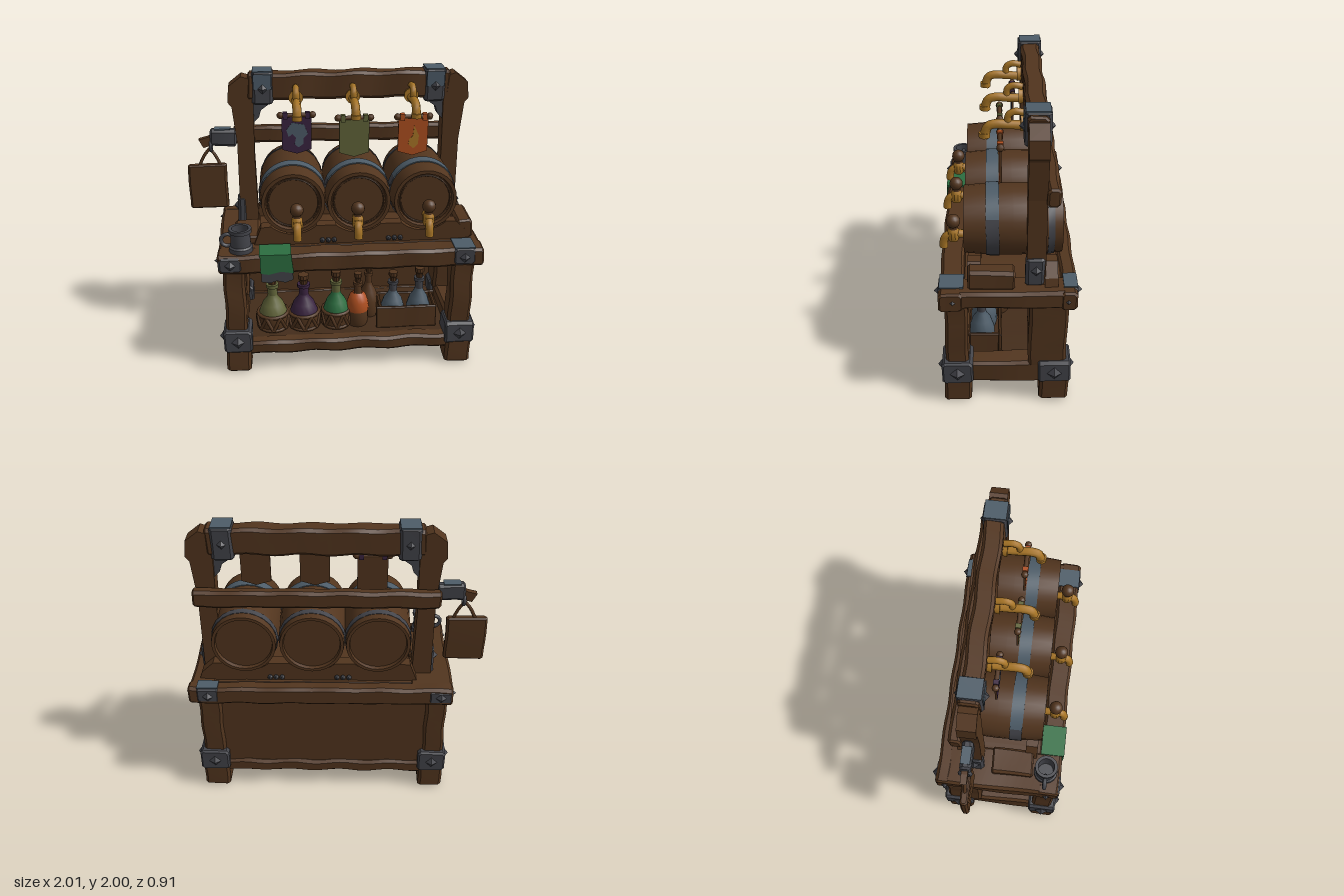
import * as THREE from 'three';
import { toCreasedNormals } from 'three/addons/utils/BufferGeometryUtils.js';

const mat = (name, color, double) => {
  const m = new THREE.MeshStandardMaterial({ color });
  m.name = name;
  if (double) m.side = THREE.DoubleSide;
  return m;
};

export function createModel() {
  const root = new THREE.Group();
  root.name = 'tavernBar';
  const wood = mat('wood', 0x52351e, true), darkWood = mat('darkWood', 0x432c1a);
  const steel = mat('blueSteel', 0x4d5c68, true), iron = mat('darkIron', 0x424349, true);
  const gold = mat('brass', 0xa97626), purple = mat('purple', 0x3a2440, true);
  const olive = mat('olive', 0x62653a, true), green = mat('green', 0x2c6e40, true);
  const orange = mat('orange', 0xae4f20, true);

  const add = (name, geo, m, x = 0, y = 0, z = 0, parent = root) => {
    const mesh = new THREE.Mesh(geo, m);
    mesh.name = name;
    mesh.position.set(x, y, z);
    parent.add(mesh);
    return mesh;
  };
  const v = (x, y, z) => new THREE.Vector3(x, y, z);
  const shapeOf = pts => new THREE.Shape(pts.map(p => new THREE.Vector2(...p)));

  // Hand-hewn beam between two corners: chamfered section, gently uneven faces
  function beam(name, m, x0, x1, y0, y1, z0, z1, wob = 0.0035) {
    const w = x1 - x0, h = y1 - y0, d = z1 - z0, len = Math.max(w, h, d);
    const [a, b] = len === w ? [d, h] : len === h ? [w, d] : [w, h];
    const c = Math.min(0.012, Math.min(a, b) * 0.18), p = a / 2 - c, q = b / 2 - c;
    const s = shapeOf([[-p + c, -q], [p - c, -q], [p, -q + c], [p, q - c],
      [p - c, q], [-p + c, q], [-p, q - c], [-p, -q + c]]);
    const g = new THREE.ExtrudeGeometry(s, { depth: len - 2 * c, steps: Math.max(1, Math.round(len / 0.06)),
      bevelEnabled: true, bevelSize: c, bevelThickness: c, bevelSegments: 1 });
    g.translate(0, 0, c - len / 2);
    if (len === w) g.rotateY(Math.PI / 2);
    else if (len === h) g.rotateX(-Math.PI / 2);
    g.translate((x0 + x1) / 2, (y0 + y1) / 2, (z0 + z1) / 2);
    const P = g.attributes.position;
    for (let i = 0; i < P.count; i++) {
      const x = P.getX(i), y = P.getY(i), z = P.getZ(i);
      P.setXYZ(i, x + wob * Math.sin(y * 21 + z * 9), y + wob * Math.sin(x * 19 + z * 11),
        z + wob * Math.sin(x * 16 + y * 13));
    }
    return add(name, toCreasedNormals(g, 0.4), m);
  }
  const slab = (name, pts, depth, m, x, y, z) =>
    add(name, new THREE.ExtrudeGeometry(shapeOf(pts), { depth, bevelEnabled: false }), m, x, y, z);
  const lathe = (pts, seg = 20, start = 0, length = Math.PI * 2) =>
    toCreasedNormals(new THREE.LatheGeometry(pts.map(p => new THREE.Vector2(...p)), seg, start, length), 0.6);
  const tube = (name, pts, r, m, parent = root, seg = 14) =>
    add(name, new THREE.TubeGeometry(new THREE.CatmullRomCurve3(pts), seg, r, 8), m, 0, 0, 0, parent);

  // Four-sided stud pointing along a direction
  const stud = (x, y, z, dx, dz, r = 0.042) => {
    const s = add('stud', toCreasedNormals(new THREE.ConeGeometry(r, 0.035, 4), 0.1), iron, x + dx * 0.012, y, z + dz * 0.012);
    s.quaternion.setFromUnitVectors(v(0, 1, 0), v(dx, 0, dz));
  };

  // Legs, feet and iron corners
  for (const [x0, x1, side] of [[-0.77, -0.6, -1], [0.77, 0.95, 1]]) {
    for (const [z0, z1, f] of [[0.23, 0.41, 1], [-0.4, -0.21, -1]]) {
      beam('foot', wood, x0, x1, 0, 0.2, z0, z1);
      beam('leg', wood, x0 + 0.01, x1 - 0.015, 0.28, 0.8, f > 0 ? 0.245 : -0.38, f > 0 ? 0.39 : -0.135);
      beam('cornerBracket', iron, x0 - 0.012, x1 + 0.012, 0.16, 0.33, z0 - 0.01, z1 + 0.01, 0.002);
      const xm = (x0 + x1) / 2, zm = (z0 + z1) / 2, xo = side < 0 ? x0 - 0.015 : x1 + 0.015;
      stud(xm, 0.245, f > 0 ? z1 + 0.01 : z0 - 0.01, 0, f, 0.052);
      stud(xo, 0.245, zm, side, 0, 0.052);
      // Table corners: the right ones wrap over the top, the left ones sit under the plank
      const cx0 = side < 0 ? -0.785 : 0.78, cx1 = side < 0 ? -0.63 : 0.93;
      const cz0 = f > 0 ? 0.26 : -0.435, cz1 = f > 0 ? 0.42 : -0.34;
      beam('tableCorner', iron, cx0, cx1, 0.79, side < 0 ? 0.897 : 0.912, cz0, cz1, 0.001);
      if (side > 0) add('cornerCap', new THREE.BoxGeometry(cx1 - cx0 - 0.01, 0.008, cz1 - cz0 - 0.01), steel,
        (cx0 + cx1) / 2, 0.914, (cz0 + cz1) / 2);
      stud((cx0 + cx1) / 2, 0.845, f > 0 ? cz1 : cz0, 0, f);
      stud(side < 0 ? -0.785 : 0.975, 0.845, f > 0 ? 0.33 : -0.37, side, 0, 0.03);
    }
    beam('sideRail', wood, x0 + 0.02, x1 - 0.02, 0.14, 0.31, -0.24, 0.26);
    beam('tableSide', wood, side < 0 ? -0.79 : 0.8, side < 0 ? -0.5 : 0.98, 0.785, 0.908, -0.36, 0.3);
  }
  beam('frontRail', wood, -0.62, 0.79, 0.12, 0.22, 0.29, 0.39, 0.005);
  beam('backRail', wood, -0.62, 0.79, 0.12, 0.22, -0.38, -0.28, 0.005);
  beam('shelf', darkWood, -0.66, 0.84, 0.14, 0.215, -0.33, 0.33, 0.001);
  beam('backPanel', wood, -0.66, 0.84, 0.2, 0.8, -0.36, -0.32, 0.001);
  beam('tableFront', wood, -0.79, 0.985, 0.775, 0.908, 0.265, 0.415);
  beam('tableBack', wood, -0.79, 0.985, 0.775, 0.908, -0.43, -0.33);
  beam('tableTop', wood, -0.6, 0.85, 0.8, 0.9, -0.35, 0.28, 0.002);
  beam('leftBlock', wood, -0.69, -0.51, 0.9, 0.96, -0.06, 0.22);
  beam('rightBlock', wood, 0.83, 0.94, 0.9, 1.035, -0.05, 0.235);

  // Upright posts, mirrored about the middle of the rack
  for (const s of [-1, 1]) {
    const X = a => 0.12 + s * a;
    const between = (name, m, a, b, ...rest) => beam(name, m, Math.min(X(a), X(b)), Math.max(X(a), X(b)), ...rest);
    slab('post', [[0.77, 0.9], [0.765, 1.5], [0.79, 1.76], [0.815, 1.79], [0.805, 1.9], [0.72, 1.965],
      [0.64, 1.94], [0.65, 1.4], [0.64, 0.9]].map(([a, y]) => [X(a), y]), 0.115, wood, 0, 0, -0.235);
    between('postPlate', iron, 0.72, 0.785, 0.905, 1.1, -0.23, -0.112, 0.002);
    stud(X(0.785), 1.02, -0.175, s, 0);
    slab('cornerBrace', [[0.65, 1.8], [0.65, 1.64], [0.61, 1.68], [0.595, 1.73], [0.5, 1.8]].map(([a, y]) => [X(a), y]),
      0.08, iron, 0, 0, -0.215);
    between('topBand', iron, 0.51, 0.65, 1.775, 1.994, -0.255, -0.1, 0.002);
    add('topBandCap', new THREE.BoxGeometry(0.128, 0.008, 0.143), steel, X(0.58), 1.995, -0.178);
    add('topBandFace', new THREE.BoxGeometry(0.12, 0.1, 0.006), steel, X(0.58), 1.93, -0.099);
    stud(X(0.58), 1.885, -0.1, 0, 1);
    stud(X(0.58), 1.885, -0.25, 0, -1);
  }
  beam('topBeam', wood, -0.56, 0.8, 1.8, 1.98, -0.24, -0.115, 0.005);
  beam('crossBeam', wood, -0.67, 0.91, 1.46, 1.58, -0.31, -0.23);

  // Barrel cradles with scalloped tops
  const barrelX = [-0.28, 0.155, 0.6];
  for (const z of [0.16, -0.31]) {
    const s = new THREE.Shape();
    s.moveTo(-0.55, 0.9); s.lineTo(0.92, 0.9); s.lineTo(0.9, 0.96); s.lineTo(0.82, 1.035);
    for (const x of [...barrelX].reverse())
      s.absarc(x, 1.205, 0.228, Math.atan2(-0.17, 0.152), Math.atan2(-0.17, -0.152), true);
    s.lineTo(-0.5, 1.03);
    add('cradle', new THREE.ExtrudeGeometry(s, { depth: 0.08, bevelEnabled: false }), wood, 0, 0, z);
    for (const x of [-0.05, 0.4]) for (let i = -1; i < 2; i++)
      add('rivet', new THREE.IcosahedronGeometry(0.02, 0), iron, x + i * 0.04, 0.93, z > 0 ? 0.25 : -0.32);
  }

  // Barrels with hoops and taps
  const barrelGeo = lathe([[0, -0.315], [0.185, -0.315], [0.19, -0.34], [0.21, -0.34], [0.222, -0.2], [0.226, -0.04],
    [0.222, 0.12], [0.21, 0.26], [0.187, 0.26], [0.18, 0.235], [0, 0.235]], 28).rotateX(Math.PI / 2);
  const hoop = (r0, r1, z0, z1, start, length) =>
    lathe([[r0 - 0.02, z0], [r0, z0], [r1, z1], [r1 - 0.02, z1]], 20, start, length).rotateX(Math.PI / 2);
  barrelX.forEach((x, i) => {
    const g = new THREE.Group();
    g.name = 'barrel';
    g.position.set(x, 1.205, 0);
    root.add(g);
    add('barrelBody', barrelGeo, wood, 0, 0, 0, g);
    add('hoopTop', hoop(0.23, 0.228, 0.045, 0.125, Math.PI - 1.05, 2.1), steel, 0, 0, 0, g);
    add('hoopLower', hoop(0.23, 0.228, 0.045, 0.125, Math.PI + 1.05, Math.PI * 2 - 2.1), iron, 0, 0, 0, g);
    add('rearHoop', hoop(0.218, 0.223, -0.29, -0.25), iron, 0, 0, 0, g);
    add('headRing', new THREE.TorusGeometry(0.168, 0.006, 6, 28), darkWood, 0, 0, 0.236, g);
    const t = new THREE.Group();
    t.name = 'barrelTap';
    t.position.x = [0.02, -0.015, 0.01][i];
    g.add(t);
    tube('spout', [v(0, -0.11, 0.23), v(0, -0.1, 0.32), v(0, -0.115, 0.37), v(0, -0.15, 0.39), v(0, -0.2, 0.395)], 0.027, gold, t);
    add('tapBody', lathe([[0.03, -0.15], [0.04, -0.13], [0.038, -0.08], [0.025, -0.055], [0, -0.055]], 10), gold, 0, 0, 0.33, t);
    add('knobStem', new THREE.CylinderGeometry(0.024, 0.03, 0.05, 10), wood, 0, -0.045, 0.33, t);
    add('knob', new THREE.SphereGeometry(0.045, 14, 10), wood, 0, -0.012, 0.33, t);
  });

  // Beam taps and hanging banners with a coloured front on a wooden backing
  const crest = [[-0.07, 0.16], [-0.03, 0.21], [0.05, 0.195], [0.075, 0.13], [0.045, 0.1], [0.045, 0.06], [0.01, 0.035],
    [-0.015, 0.06], [-0.005, 0.105], [-0.03, 0.13], [-0.055, 0.11]];
  const flame = [[0.005, 0.2], [0.04, 0.13], [0.035, 0.07], [0.005, 0.04], [-0.03, 0.07], [-0.025, 0.105], [0, 0.13]];
  const cloth = [[-0.1, 0.025], [0, -0.005], [0.1, 0.025], [0.1, 0.265], [-0.1, 0.265]];
  [[-0.24, purple, -0.055, crest, steel], [0.14, olive, 0.035], [0.535, orange, 0.035, flame, gold]].forEach(([x, m, z, emblem, em]) => {
    tube('beamTap', [v(x, 1.81, -0.12), v(x, 1.815, -0.02), v(x, 1.82, 0.06), v(x, 1.805, 0.105), v(x, 1.735, 0.13)], 0.029, gold);
    add('tapMouth', new THREE.CylinderGeometry(0.034, 0.034, 0.03, 10), gold, x, 1.75, 0.128);
    const flange = add('tapFlange', new THREE.CylinderGeometry(0.05, 0.045, 0.03, 10), gold, x, 1.825, -0.1);
    flange.rotation.x = Math.PI / 2;
    tube('tapHandle', [v(x, 1.82, -0.01), v(x, 1.875, -0.015), v(x, 1.898, -0.05), v(x, 1.89, -0.11)], 0.022, gold);
    add('bannerRod', new THREE.CylinderGeometry(0.015, 0.015, 0.21, 8), wood, x, 1.715, z).rotation.z = Math.PI / 2;
    for (const s of [-1, 1]) {
      add('rodEnd', new THREE.SphereGeometry(0.024, 8, 6), wood, x + s * 0.108, 1.715, z);
      add('bannerLoop', new THREE.BoxGeometry(0.03, 0.045, 0.036), m, x + s * 0.075, 1.714, z);
    }
    slab('bannerBacking', cloth, 0.012, wood, x, 1.45, z - 0.008);
    slab('bannerFront', cloth, 0.003, m, x, 1.45, z + 0.004);
    if (emblem) slab('bannerEmblem', emblem, 0.003, em, x, 1.455, z + 0.007);
  });

  // Hanging sign on a bracket
  beam('signBracket', iron, -0.83, -0.65, 1.47, 1.59, -0.22, -0.15, 0.004);
  add('bracketCap', new THREE.BoxGeometry(0.11, 0.008, 0.06), steel, -0.745, 1.592, -0.185);
  slab('signHook', [[-0.91, 1.52], [-0.88, 1.46], [-0.78, 1.49], [-0.78, 1.57], [-0.85, 1.535]], 0.04, wood, 0, 0, -0.205);
  const ring = add('signRing', new THREE.TorusGeometry(0.035, 0.012, 6, 14), iron, -0.83, 1.47, -0.185);
  ring.rotation.y = Math.PI / 2;
  beam('signBoard', wood, -1, -0.73, 1.01, 1.335, -0.21, -0.16, 0.002);
  for (const x of [-0.92, -0.77])
    tube('signRope', [v(-0.84, 1.45, -0.185), v((x - 0.84) / 2, 1.4, -0.185), v(x, 1.32, -0.185)], 0.011, wood, root, 6);

  // Mug and draped cloth
  add('mug', lathe([[0, 0], [0.08, 0], [0.08, 0.03], [0.068, 0.04], [0.065, 0.13], [0.076, 0.135], [0.076, 0.16],
    [0.055, 0.16], [0.052, 0.03], [0, 0.03]], 18), iron, -0.635, 0.908, 0.31);
  add('mugHandle', new THREE.TorusGeometry(0.043, 0.014, 8, 14), iron, -0.72, 0.985, 0.31);
  add('clothTop', new THREE.BoxGeometry(0.21, 0.012, 0.155), green, -0.41, 0.914, 0.343);
  slab('clothDrape', [[-0.105, 0.01], [-0.05, 0], [0.03, 0.02], [0.115, 0.005], [0.1, 0.145], [-0.105, 0.145]], 0.009, green, -0.405, 0.775, 0.417);
  slab('clothFringe', [[-0.1, 0.01], [-0.04, 0], [0, 0.015], [0.06, 0], [0.11, 0.02], [0.11, 0.09], [-0.1, 0.09]], 0.01, iron, -0.405, 0.71, 0.412);

  // Bottles on the shelf: x, z, width scale, height scale, colour, neck colour, basket
  const bottle = lathe([[0, 0], [0.09, 0], [0.104, 0.04], [0.1, 0.13], [0.075, 0.2], [0.042, 0.245], [0.034, 0.27]], 16);
  const neck = lathe([[0.034, 0.27], [0.034, 0.325], [0.045, 0.33], [0.045, 0.355], [0, 0.355]], 16);
  const cork = lathe([[0.026, 0.35], [0.03, 0.39], [0.04, 0.4], [0.038, 0.43], [0, 0.435]], 10);
  for (const [x, z, w, h, m, neckM, basket] of [[-0.44, 0.17, 1, 0.98, olive, olive, 1], [-0.22, 0.17, 1, 0.96, purple, purple, 1],
    [0.01, 0.17, 0.92, 1, green, olive, 1], [0.165, 0.17, 0.75, 0.95, wood, wood, 0], [0.255, 0.05, 0.75, 0.98, wood, wood, 0],
    [0.42, 0.15, 0.85, 0.92, steel, iron, 0], [0.605, 0.165, 0.85, 1, steel, iron, 0]]) {
    const g = new THREE.Group();
    g.name = 'bottle';
    g.position.set(x, 0.214, z);
    g.scale.set(w, h, w);
    root.add(g);
    add('bottleGlass', bottle, m, 0, 0, 0, g);
    add('bottleNeck', neck, neckM, 0, 0, 0, g);
    add('cork', cork, wood, 0, 0, 0, g);
    if (!basket) continue;
    add('basket', lathe([[0.1, 0], [0.112, 0.04], [0.11, 0.125]], 16), wood, 0, 0, 0, g);
    for (const y of [0.02, 0.125]) add('basketRope', new THREE.TorusGeometry(0.106, 0.013, 6, 18), wood, 0, y, 0, g).rotation.x = Math.PI / 2;
    for (let i = 0; i < 7; i++) {
      const a = i * Math.PI * 2 / 7, at = (t, y) => v(Math.sin(t) * 0.112, y, Math.cos(t) * 0.112);
      for (const s of [-1, 1]) tube('basketWeave', [at(a, 0.02), at(a + s * 0.22, 0.07), at(a + s * 0.45, 0.125)], 0.012, wood, g, 4);
    }
  }
  const label = [[0.079, 0.12], [0.08, 0.15], [0.073, 0.19], [0.057, 0.235], [0.035, 0.255]];
  add('orangeLabel', lathe(label, 16), orange, 0.165, 0.214, 0.17);

  // Slatted crate
  beam('crateFront', wood, 0.29, 0.72, 0.215, 0.385, 0.24, 0.265, 0.002);
  beam('crateBack', wood, 0.32, 0.74, 0.215, 0.38, 0.03, 0.055, 0.002);
  for (const x of [0.31, 0.7]) beam('crateSide', wood, x, x + 0.025, 0.215, 0.375, 0.05, 0.245, 0.002);
  return root;
}
